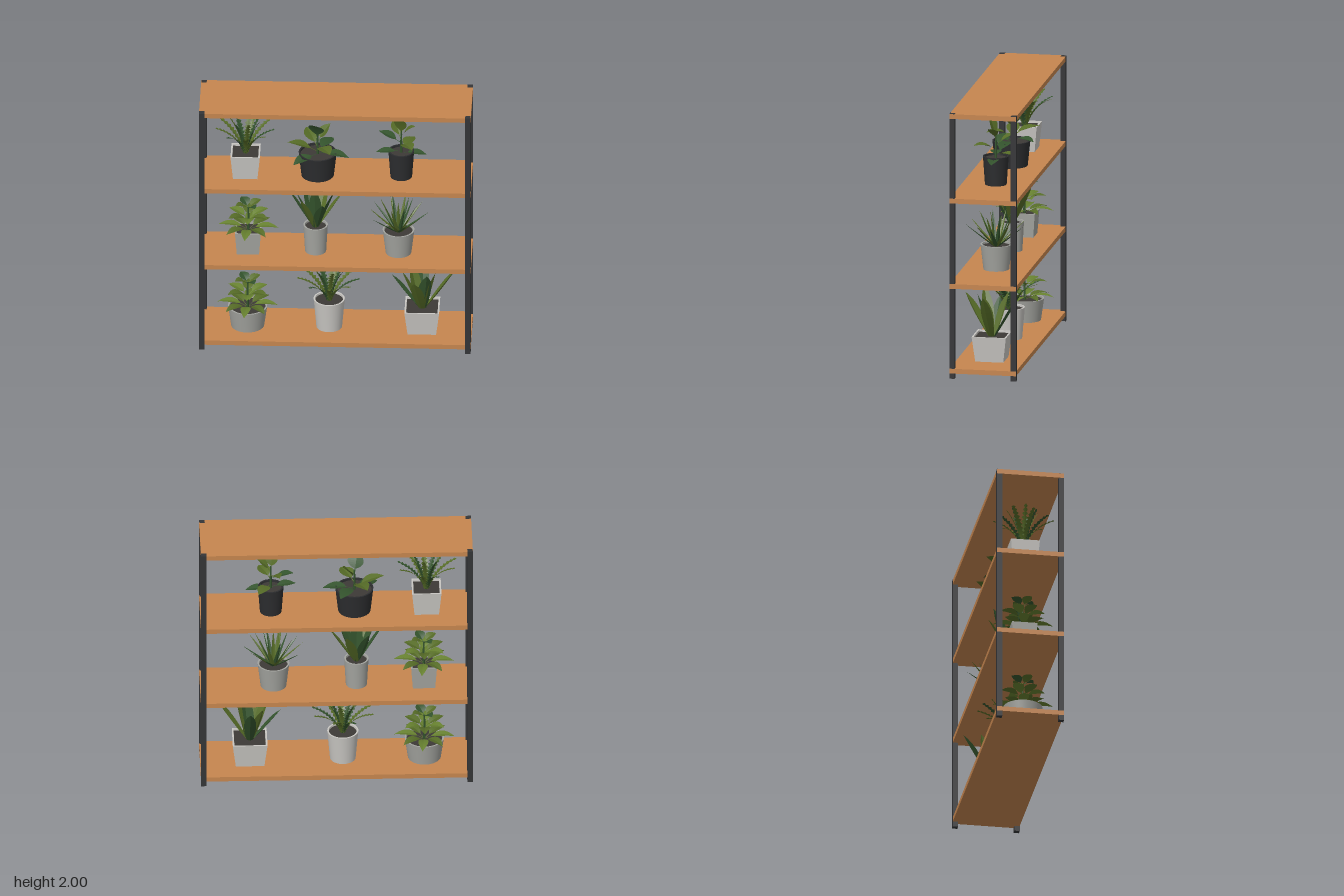
import * as THREE from 'three';
import { toCreasedNormals } from 'three/addons/utils/BufferGeometryUtils.js';

const paint = (name, color, side = THREE.FrontSide) => {
  const m = new THREE.MeshStandardMaterial({ color, side });
  m.name = name;
  return m;
};
const wood = paint('wood', 0xc6864f);
const metal = paint('dark metal', 0x343537);
const lightPot = paint('light pot', 0xc8c6c2);
const greyPot = paint('grey pot', 0xa3a49f);
const blackPot = paint('black pot', 0x2c2d2f);
const soil = paint('soil', 0x3d3a36);
const dark = paint('dark green', 0x34542d, THREE.DoubleSide);
const olive = paint('olive green', 0x566c27, THREE.DoubleSide);
const fresh = paint('fresh green', 0x66802f, THREE.DoubleSide);

const rad = THREE.MathUtils.degToRad;

function add(group, name, geometry, material, x = 0, y = 0, z = 0) {
  const mesh = new THREE.Mesh(geometry, material);
  mesh.name = name;
  mesh.position.set(x, y, z);
  group.add(mesh);
  return mesh;
}

// Half-width of each leaf kind along its length
const profiles = {
  broad: { rows: 12, fold: 0.25, width: (t) => (t < 0.25 ? 0.07 : Math.max(0.07 * (1 - t), Math.sin(Math.PI * ((t - 0.25) / 0.75) ** 0.8))) },
  blade: { rows: 8, fold: 0.4, width: (t) => (t < 0.55 ? 0.5 + 0.5 * Math.sin((t / 0.55) * Math.PI / 2) : Math.cos(((t - 0.55) / 0.45) * Math.PI / 2) ** 0.8) },
  spike: { rows: 6, fold: 0.5, width: (t) => (1 - t) ** 0.7 },
  frond: { rows: 22, fold: 0.15, width: (t, i) => (i % 2 ? 1 : 0.35) * (0.3 + 0.7 * Math.sin(Math.PI * Math.min(1, t * 0.75 + 0.15))) * (t > 0.99 ? 0 : 1) },
};

// Folded leaf marching along an arc from one pitch to another
function leafGeometry(kind, azimuth, pitch0, pitch1, length, halfWidth) {
  const { rows, fold, width } = profiles[kind];
  const a = rad(azimuth);
  const side = new THREE.Vector3(-Math.sin(a), 0, Math.cos(a));
  const p = new THREE.Vector3();
  const position = [];
  const index = [];
  for (let i = 0; i <= rows; i++) {
    const t = i / rows;
    const pitch = rad(pitch0 + (pitch1 - pitch0) * t);
    const dir = new THREE.Vector3(Math.cos(a) * Math.cos(pitch), Math.sin(pitch), Math.sin(a) * Math.cos(pitch));
    const normal = side.clone().cross(dir);
    const w = halfWidth * width(t, i);
    for (const s of [-1, 0, 1]) {
      const v = p.clone().addScaledVector(side, s * w).addScaledVector(normal, Math.abs(s) * w * fold);
      position.push(v.x, v.y, v.z);
    }
    if (i < rows) {
      for (const k of [0, 1]) {
        const b = i * 3 + k;
        index.push(b, b + 1, b + 3, b + 1, b + 4, b + 3);
      }
    }
    p.addScaledVector(dir, length / rows);
  }
  const g = new THREE.BufferGeometry();
  g.setAttribute('position', new THREE.Float32BufferAttribute(position, 3));
  g.setIndex(index);
  const flat = g.toNonIndexed();
  flat.computeVertexNormals();
  return flat;
}

// Tapered pot with a rim and soil; four sides make a square pot
function addPot(plant, sides, top, bottom, h, material) {
  const k = sides === 4 ? Math.SQRT2 : 1;
  const profile = [[0.001, 0], [bottom * k, 0], [top * k, h], [(top - 0.012) * k, h], [(top - 0.015) * k, h - 0.03]]
    .map(([x, y]) => new THREE.Vector2(x, y));
  add(plant, 'pot', toCreasedNormals(new THREE.LatheGeometry(profile, sides, Math.PI / 4), 0.5), material);
  const disc = new THREE.CircleGeometry((top - 0.013) * k, sides, Math.PI / 4);
  disc.rotateX(-Math.PI / 2);
  add(plant, 'soil', disc, soil, 0, h - 0.015);
}

// Leaf list entries: [azimuth, start pitch, end pitch, length, half-width, height on stem, material]
function addLeaves(plant, kind, base, spread, leaves) {
  for (const [az, p0, p1, len, w, up, mat] of leaves) {
    add(plant, 'leaf', leafGeometry(kind, az, p0, p1, len, w), mat,
      Math.cos(rad(az)) * spread, base + up, Math.sin(rad(az)) * spread);
  }
}

function addStem(plant, base, height) {
  add(plant, 'stem', new THREE.CylinderGeometry(0.006, 0.009, height, 8), dark, 0, base + height / 2);
}

// Fern: outer arching ring and inner upright ring
function fernLeaves(tilt) {
  const list = [];
  for (let i = 0; i < 9; i++) list.push([i * 40 + 8, 74 - tilt, 18 - tilt, 0.31 + 0.015 * (i % 3), 0.026, 0, i % 3 ? olive : dark]);
  for (let i = 0; i < 7; i++) list.push([i * 51.4 + 25, 84, 56 - tilt, 0.31 + 0.015 * (i % 2), 0.026, 0, i % 2 ? olive : dark]);
  return list;
}

// Spiky rosette
function rosetteLeaves() {
  const list = [];
  for (let i = 0; i < 10; i++) list.push([i * 36, 38 + 5 * (i % 2), 42 + 5 * (i % 2), 0.27, 0.019, 0, i % 2 ? olive : dark]);
  for (let i = 0; i < 8; i++) list.push([i * 45 + 20, 62 + 6 * (i % 2), 66 + 6 * (i % 2), 0.28, 0.02, 0, i % 2 ? dark : olive]);
  list.push([90, 84, 86, 0.27, 0.02, 0, olive]);
  return list;
}

// Small bushy plant: tiers of leaves becoming steeper upwards
function bushLeaves(top) {
  const list = [];
  for (let i = 0; i < 8; i++) list.push([i * 45 + 5, 34, -22, 0.235 - 0.02 * (i % 2), 0.038, 0, i % 2 ? olive : fresh]);
  for (let i = 0; i < 6; i++) list.push([i * 60 + 30, 42, -12, 0.18, 0.042, top * 0.4, i % 2 ? fresh : olive]);
  for (let i = 0; i < 4; i++) list.push([i * 90 + 60, 55, -5, 0.125, 0.04, top * 0.8, i % 2 ? olive : dark]);
  return list;
}

const bladesNarrow = [
  [180, 58, 62, 0.35, 0.03, 0, dark], [160, 66, 70, 0.33, 0.04, 0, dark], [95, 82, 84, 0.34, 0.046, 0, dark],
  [20, 67, 70, 0.35, 0.038, 0, dark], [-5, 56, 60, 0.33, 0.032, 0, olive], [70, 60, 63, 0.3, 0.04, 0, dark],
  [125, 60, 64, 0.34, 0.038, 0, olive], [240, 62, 66, 0.34, 0.042, 0, dark], [295, 60, 64, 0.33, 0.042, 0, olive],
];
const bladesWide = [
  [185, 50, 56, 0.33, 0.034, 0, dark], [150, 66, 70, 0.38, 0.045, 0, olive], [70, 74, 78, 0.33, 0.052, 0, dark],
  [5, 54, 60, 0.41, 0.042, 0, olive], [105, 56, 62, 0.37, 0.048, 0, olive], [20, 74, 78, 0.32, 0.045, 0, olive],
  [270, 58, 62, 0.4, 0.045, 0, dark], [230, 68, 72, 0.34, 0.045, 0, olive],
];
const largeLeaves = [
  [110, 70, 50, 0.18, 0.062, 0.13, dark], [-30, 60, 40, 0.17, 0.05, 0.1, olive], [175, 35, 5, 0.24, 0.05, 0.02, olive],
  [60, 25, -10, 0.2, 0.055, 0.06, olive], [10, 10, -20, 0.24, 0.05, 0.01, dark], [140, 8, -18, 0.23, 0.05, 0, dark],
  [245, 30, 0, 0.23, 0.055, 0.05, olive], [300, 20, -15, 0.22, 0.05, 0.02, dark],
];
const tallLeaves = [
  [110, 80, 62, 0.2, 0.05, 0.14, olive], [15, 58, 25, 0.15, 0.04, 0.14, olive], [195, 35, 10, 0.19, 0.045, 0.08, dark],
  [60, 30, -10, 0.18, 0.05, 0.07, olive], [0, 8, -18, 0.19, 0.042, 0, dark], [170, 12, -8, 0.19, 0.042, 0.01, dark],
  [250, 40, 10, 0.2, 0.048, 0.1, olive], [300, 18, -12, 0.19, 0.045, 0.03, olive],
];

// Shelf plants: position, pot (sides, top, bottom, height, material) and foliage
const plants = [
  ['topLeftFern', -0.665, 1.36, [4, 0.108, 0.09, 0.19, lightPot], 'frond', 0.015, fernLeaves(0), 0],
  ['topMiddleLargeLeafPlant', -0.135, 1.36, [32, 0.14, 0.12, 0.19, blackPot], 'broad', 0, largeLeaves, 0.17],
  ['topRightTallLeafPlant', 0.48, 1.36, [32, 0.095, 0.08, 0.215, blackPot], 'broad', 0, tallLeaves, 0.19],
  ['middleLeftBush', -0.645, 0.715, [4, 0.095, 0.082, 0.18, greyPot], 'broad', 0, bushLeaves(0.22), 0.19],
  ['middleBladePlant', -0.15, 0.715, [32, 0.09, 0.078, 0.22, greyPot], 'blade', 0.02, bladesNarrow, 0],
  ['middleRightRosette', 0.46, 0.715, [32, 0.117, 0.095, 0.19, greyPot], 'spike', 0.02, rosetteLeaves(), 0],
  ['bottomLeftBush', -0.65, 0.075, [32, 0.145, 0.122, 0.165, greyPot], 'broad', 0, bushLeaves(0.24), 0.21],
  ['bottomMiddleFern', -0.05, 0.075, [32, 0.115, 0.095, 0.235, lightPot], 'frond', 0.015, fernLeaves(4), 0],
  ['bottomRightBladePlant', 0.635, 0.075, [4, 0.128, 0.105, 0.19, lightPot], 'blade', 0.025, bladesWide, 0],
];

export function createModel() {
  const model = new THREE.Group();
  model.name = 'plantShelf';

  // Corner posts
  for (const x of [-1, 1]) for (const z of [-1, 1]) {
    add(model, 'post', new THREE.BoxGeometry(0.04, 2, 0.04), metal, x * 0.979, 1, z * 0.23);
  }
  // Shelf boards
  for (const y of [0.0575, 0.6975, 1.3425, 1.981]) {
    add(model, 'shelf', new THREE.BoxGeometry(2, 0.036, 0.498), wood, 0, y, 0);
  }
  // Potted plants
  for (const [name, x, y, pot, kind, spread, leaves, stem] of plants) {
    const plant = new THREE.Group();
    plant.name = name;
    plant.position.set(x, y, 0);
    addPot(plant, ...pot);
    const base = pot[3] - 0.018;
    if (stem) addStem(plant, base, stem);
    addLeaves(plant, kind, base, spread, leaves);
    model.add(plant);
  }
  return model;
}
